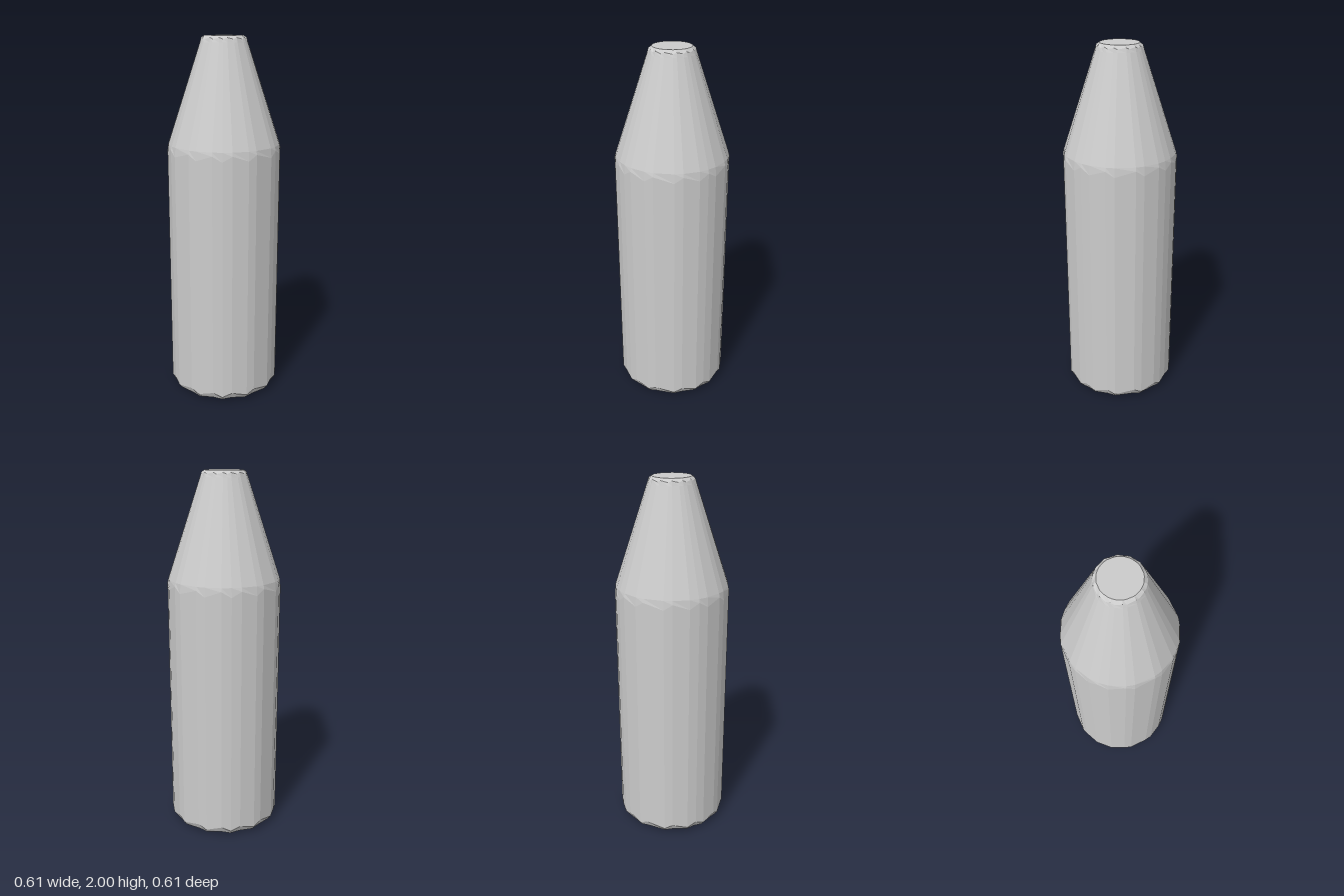
import * as THREE from 'three';

// Facet corner angles (degrees) within one quarter turn: wide and narrow facets alternate
const QUARTER = [10.2, 18.8, 35.2, 45, 54.8, 71.2, 79.8];
const ANGLES = [0, 90, 180, 270].flatMap(q => QUARTER.map(a => THREE.MathUtils.degToRad(a + q)));

// Profile rows: radius, height, scallop depth of the softened edges
const PROFILE = [
  [0, 0, 0],
  [0.255, 0, 0],
  [0.292, 0.015, 0.005],
  [0.31, 0.045, 0.012],
  [0.31, 1.395, 0.015],
  [0.305, 1.43, 0],
  [0.127, 1.965, 0],
  [0.12, 1.985, 0.004],
  [0.104, 2, 0],
  [0, 2, 0],
];

// Turned solid whose corners are moved to the uneven facet angles
function facetedBody() {
  const n = ANGLES.length;
  const points = PROFILE.map(([r, y]) => new THREE.Vector2(r, y));
  const geometry = new THREE.LatheGeometry(points, n);
  const pos = geometry.attributes.position;
  for (let i = 0; i <= n; i++) {
    const angle = ANGLES[i % n];
    PROFILE.forEach(([r, y, scallop], j) => {
      const wave = i % 2 ? scallop : -scallop;
      pos.setXYZ(i * PROFILE.length + j, r * Math.sin(angle), y + wave, r * Math.cos(angle));
    });
  }
  geometry.computeVertexNormals();
  return geometry;
}

export function createModel() {
  const model = new THREE.Group();
  model.name = 'taperedCylinder';
  const material = new THREE.MeshStandardMaterial({ color: 0xcccccc, flatShading: true });
  const body = new THREE.Mesh(facetedBody(), material);
  body.name = 'body';
  model.add(body);
  return model;
}
